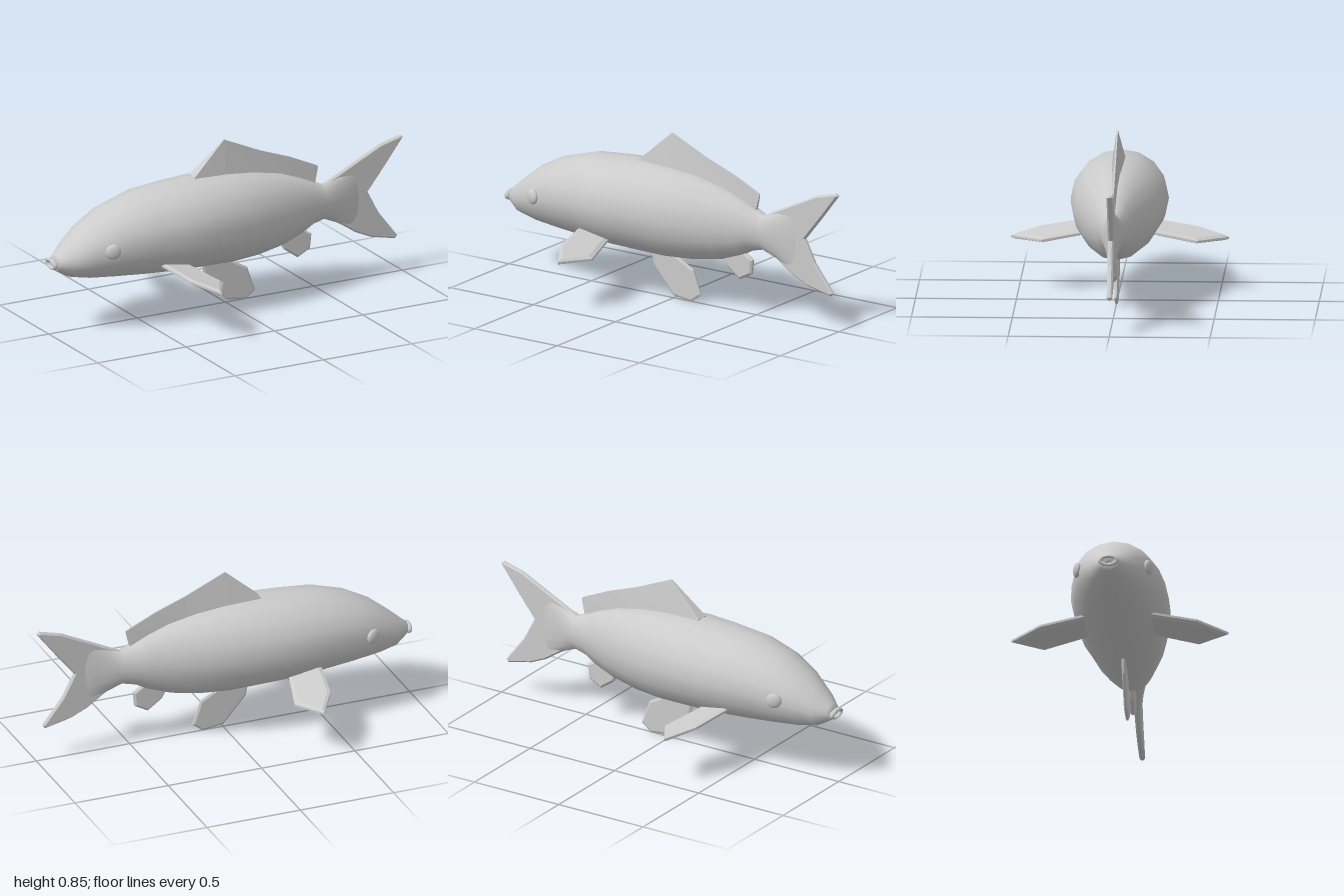
import * as THREE from 'three';

const grey = new THREE.MeshStandardMaterial({ color: 0xcccccc });

function add(group, name, geometry) {
  const mesh = new THREE.Mesh(geometry, grey);
  mesh.name = name;
  group.add(mesh);
  return mesh;
}

// Skin a list of closed rings (arrays of [x, y, z]) running along +x
function loft(rings, flat = false) {
  const n = rings[0].length, index = [];
  for (let i = 0; i < rings.length - 1; i++) {
    for (let j = 0; j < n; j++) {
      const k = (j + 1) % n;
      const a = i * n + j, b = a + n, c = i * n + k, d = c + n;
      index.push(a, b, c, c, b, d);
    }
  }
  let g = new THREE.BufferGeometry();
  g.setAttribute('position', new THREE.Float32BufferAttribute(rings.flat(2), 3));
  g.setIndex(index);
  if (flat) g = g.toNonIndexed();
  g.computeVertexNormals();
  return g;
}

// Thin bevelled plate cut from an outline, centred on z = 0
function finPlate(points, half, bevel) {
  const shape = new THREE.Shape(points.map(([x, y]) => new THREE.Vector2(x, y)));
  const depth = half * 0.8;
  const g = new THREE.ExtrudeGeometry(shape, {
    depth, bevelEnabled: true, bevelThickness: half - depth / 2,
    bevelSize: bevel, bevelOffset: -bevel, bevelSegments: 1,
  });
  return g.translate(0, 0, -depth / 2);
}

export function createModel() {
  const fish = new THREE.Group();
  fish.name = 'fish';

  // Body stations: x, top, bottom, half width
  const stations = [
    [-0.95, 0.375, 0.365, 0.005], [-0.985, 0.393, 0.345, 0.035], [-0.96, 0.415, 0.328, 0.055],
    [-0.9, 0.468, 0.292, 0.105], [-0.8, 0.55, 0.272, 0.152], [-0.67, 0.62, 0.26, 0.195],
    [-0.5, 0.67, 0.246, 0.226], [-0.32, 0.685, 0.235, 0.243], [-0.17, 0.695, 0.23, 0.238],
    [0, 0.688, 0.225, 0.22], [0.15, 0.668, 0.233, 0.186], [0.3, 0.635, 0.258, 0.14],
    [0.42, 0.59, 0.3, 0.098], [0.48, 0.56, 0.333, 0.078], [0.55, 0.53, 0.35, 0.058],
    [0.63, 0.562, 0.315, 0.038], [0.72, 0.6, 0.262, 0.02], [0.79, 0.6, 0.28, 0.004],
  ];
  const sides = 16;
  add(fish, 'body', loft(stations.map(([x, top, bottom, w]) =>
    Array.from({ length: sides }, (_, j) => {
      const a = (j / sides) * Math.PI * 2;
      return [x, (top + bottom) / 2 + Math.sin(a) * (top - bottom) / 2, Math.cos(a) * w];
    }))));

  // Lips
  const lips = add(fish, 'mouth', new THREE.TorusGeometry(0.04, 0.012, 8, 20).rotateY(Math.PI / 2));
  lips.scale.set(1, 0.55, 1);
  lips.position.set(-0.985, 0.369, 0);
  lips.rotation.z = 0.15;

  // Forked tail
  add(fish, 'tailFin', finPlate([
    [0.55, 0.53], [0.7, 0.603], [0.87, 0.685], [0.985, 0.715], [1, 0.705],
    [0.9, 0.575], [0.8, 0.45], [0.86, 0.335], [0.968, 0.195], [0.955, 0.18],
    [0.82, 0.21], [0.73, 0.25], [0.63, 0.318], [0.55, 0.35],
  ], 0.014, 0.008));

  // Dorsal fin, a wedge thick at the base: x, base y, top y, base and top half widths
  const dorsal = [
    [-0.19, 0.68, 0.695, 0.034, 0.03], [-0.01, 0.67, 0.857, 0.03, 0.003],
    [0.2, 0.64, 0.764, 0.018, 0.003], [0.36, 0.6, 0.706, 0.013, 0.004],
    [0.5, 0.54, 0.642, 0.01, 0.004], [0.52, 0.62, 0.632, 0.004, 0.003],
  ];
  const ring = ([x, base, top, w, t]) => [[x, base, w], [x, top, t], [x, top, -t], [x, base, -w]];
  const first = dorsal[0], last = dorsal[dorsal.length - 1];
  add(fish, 'dorsalFin', loft([
    ring([first[0], 0.685, 0.685, 0, 0]), ...dorsal.map(ring),
    ring([last[0], 0.626, 0.626, 0, 0]),
  ], true));

  // Lower centre fins
  add(fish, 'pelvicFin', finPlate([
    [-0.14, 0.25], [-0.12, 0.155], [0, 0.018], [0.11, 0.004],
    [0.165, 0.045], [0.12, 0.17], [0, 0.235],
  ], 0.009, 0.01));
  add(fish, 'analFin', finPlate([
    [0.3, 0.28], [0.33, 0.225], [0.405, 0.172], [0.475, 0.21],
    [0.483, 0.285], [0.42, 0.325], [0.34, 0.33],
  ], 0.014, 0.01));

  for (const [side, label] of [[1, 'left'], [-1, 'right']]) {
    // Pectoral fins, drooping outwards and pitched down towards the tail
    const g = finPlate([
      [-0.46, 0.15], [-0.415, 0.39], [-0.32, 0.54], [-0.225, 0.385], [-0.29, 0.15],
    ].map(([x, z]) => [x, z * side]), 0.014, 0.018).rotateX(Math.PI / 2);
    const p = g.attributes.position;
    for (let i = 0; i < p.count; i++) {
      p.setY(i, p.getY(i) + 0.293 - 0.2 * (p.getX(i) + 0.33) - 0.09 * (Math.abs(p.getZ(i)) - 0.2));
    }
    g.computeVertexNormals();
    add(fish, side > 0 ? 'frontPectoralFin' : 'backPectoralFin', g);

    // Eyes
    const eye = add(fish, label + 'Eye', new THREE.SphereGeometry(0.039, 18, 12));
    eye.scale.set(1, 1, 0.45);
    eye.position.set(-0.733, 0.442, side * 0.178);
    eye.rotation.y = -side * 0.35;
  }

  return fish;
}
